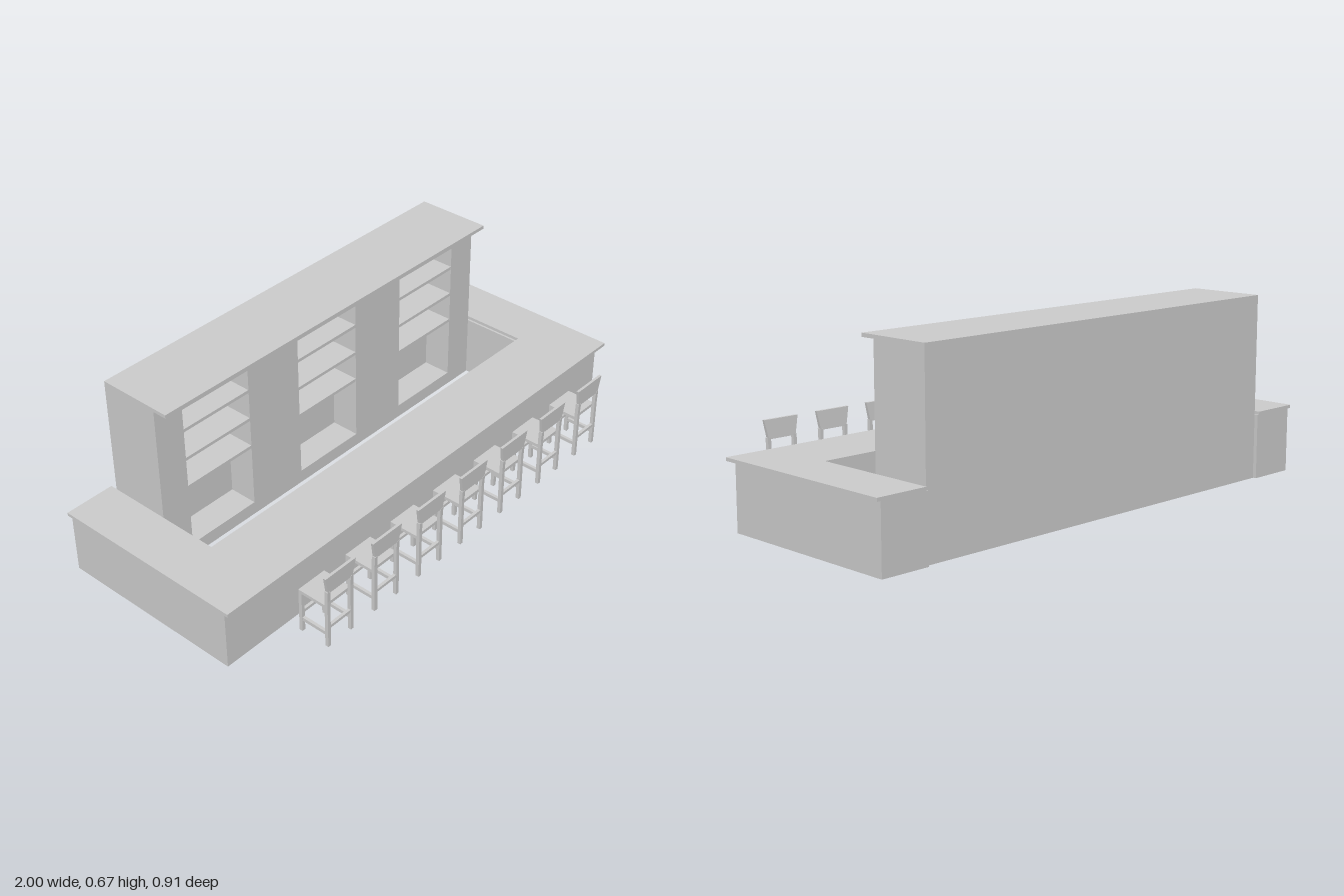
import * as THREE from 'three';

const material = new THREE.MeshStandardMaterial({ color: 0xcccccc });

function add(parent, name, geometry) {
  const mesh = new THREE.Mesh(geometry, material);
  mesh.name = name;
  parent.add(mesh);
  return mesh;
}

// Box given by its limits on each axis
function box(parent, name, [x0, x1], [y0, y1], [z0, z1]) {
  const g = new THREE.BoxGeometry(x1 - x0, y1 - y0, z1 - z0);
  g.translate((x0 + x1) / 2, (y0 + y1) / 2, (z0 + z1) / 2);
  return add(parent, name, g);
}

const polygon = (points) => new THREE.Shape(points.map(([x, y]) => new THREE.Vector2(x, y)));

// U-shaped slab, open towards the back
function uSlab(outerX, innerX, front, innerFront, back, y0, y1) {
  const shape = polygon([
    [-outerX, -front], [outerX, -front], [outerX, -back], [innerX, -back],
    [innerX, -innerFront], [-innerX, -innerFront], [-innerX, -back], [-outerX, -back],
  ]);
  const g = new THREE.ExtrudeGeometry(shape, { depth: y1 - y0, bevelEnabled: false });
  return g.rotateX(-Math.PI / 2).translate(0, y0, 0);
}

function createCounter() {
  const counter = new THREE.Group();
  counter.name = 'counter';
  add(counter, 'counterBase', uSlab(0.985, 0.802, 0.26, 0.03, -0.452, 0, 0.235));
  add(counter, 'counterTop', uSlab(1, 0.81, 0.29, 0.025, -0.453, 0.235, 0.247));
  return counter;
}

function createBackBar() {
  const bar = new THREE.Group();
  bar.name = 'backBar';
  const half = 0.148, bottom = 0.05, top = 0.605, rear = -0.32, front = -0.21;
  const niches = [-0.535, 0, 0.535];

  // Front with three niches, closed by a solid back
  const shape = polygon([[-0.8, 0], [0.8, 0], [0.8, 0.66], [-0.8, 0.66]]);
  for (const x of niches) {
    shape.holes.push(polygon([
      [x - half, bottom], [x - half, top], [x + half, top], [x + half, bottom],
    ]));
  }
  const g = new THREE.ExtrudeGeometry(shape, { depth: front - rear, bevelEnabled: false });
  add(bar, 'cabinetFront', g.translate(0, 0, rear));
  box(bar, 'cabinetBack', [-0.8, 0.8], [0, 0.66], [-0.44, rear]);
  box(bar, 'cabinetTop', [-0.8, 0.8], [0.66, 0.673], [-0.44, -0.155]);

  for (const x of niches) {
    for (const y of [0.285, 0.4, 0.515]) {
      box(bar, 'shelf', [x - half, x + half], [y, y + 0.012], [rear, front - 0.001]);
    }
  }
  return bar;
}

function createStool() {
  const stool = new THREE.Group();
  stool.name = 'stool';
  const w = 0.06, t = 0.013;
  box(stool, 'seat', [-w, w], [0.175, 0.187], [0.325, 0.437]);

  for (const side of [-1, 1]) {
    const x0 = side < 0 ? -w : w - t;
    box(stool, 'frontLeg', [x0, x0 + t], [0.017, 0.176], [0.325, 0.338]);
    box(stool, 'sideRail', [x0 + 0.001, x0 + t - 0.001], [0.062, 0.075], [0.337, 0.438]);
    // Rear leg bends backwards above the seat
    const leg = polygon([
      [0.437, 0.017], [0.45, 0.017], [0.45, 0.205], [0.452, 0.245], [0.438, 0.245], [0.437, 0.205],
    ]);
    const g = new THREE.ExtrudeGeometry(leg, { depth: t, bevelEnabled: false });
    g.rotateY(-Math.PI / 2).scale(1, 1, 1).translate(x0 + t, 0, 0);
    add(stool, 'rearLeg', g);
  }

  for (const z of [0.326, 0.438]) {
    box(stool, 'crossRail', [-w + t, w - t], [0.09, 0.101], [z, z + 0.011]);
  }

  // Backrest widens and leans back towards the top
  const back = box(stool, 'backrest', [-0.056, 0.056], [0.24, 0.307], [0.438, 0.451]);
  const p = back.geometry.attributes.position;
  for (let i = 0; i < p.count; i++) {
    if (p.getY(i) < 0.27) continue;
    p.setX(i, p.getX(i) * 1.25);
    p.setZ(i, p.getZ(i) > 0.444 ? 0.453 : 0.443);
  }
  back.geometry.computeVertexNormals();
  return stool;
}

export function createModel() {
  const model = new THREE.Group();
  model.name = 'barCounter';
  model.add(createCounter(), createBackBar());
  // Row of stools along the front
  for (let i = -3; i <= 3; i++) {
    const stool = createStool();
    stool.position.x = i * 0.222;
    model.add(stool);
  }
  return model;
}
